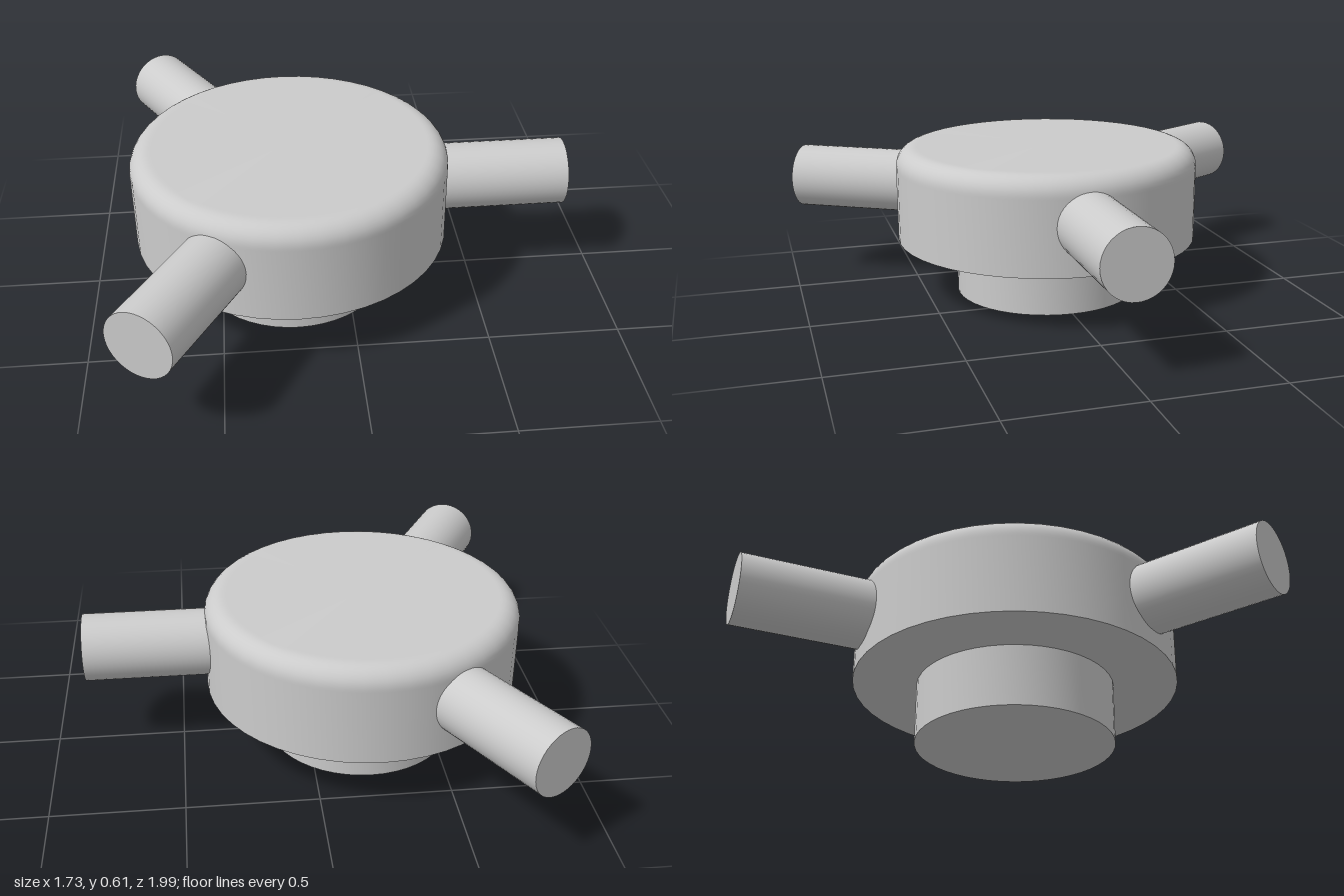
import * as THREE from 'three';
import { toCreasedNormals } from 'three/addons/utils/BufferGeometryUtils.js';

const material = new THREE.MeshStandardMaterial({ color: 0xcccccc });
const HUB_X = -0.215, HUB_R = 0.61, HUB_BOTTOM = 0.23, HUB_TOP = 0.61, FILLET = 0.075;
const STEM_R = 0.372;
const ARM_R = 0.13, ARM_Y = 0.42, ARM_START = 0.57, ARM_END = 1.075;

function add(parent, name, geometry) {
  const mesh = new THREE.Mesh(geometry, material);
  mesh.name = name;
  parent.add(mesh);
  return mesh;
}

// Revolve a [radius, height] profile, keeping its corners sharp
function revolve(profile) {
  const points = profile.map(([r, y]) => new THREE.Vector2(r, y));
  return toCreasedNormals(new THREE.LatheGeometry(points, 48), 0.6);
}

export function createModel() {
  const model = new THREE.Group();
  model.name = 'threeArmKnob';

  // Everything radiates from the hub axis
  const knob = new THREE.Group();
  knob.name = 'knob';
  knob.position.x = HUB_X;
  model.add(knob);

  // Hub: flat underside, straight wall, rounded upper rim
  const profile = [[STEM_R, HUB_BOTTOM], [HUB_R, HUB_BOTTOM], [HUB_R, HUB_TOP - FILLET - 0.01]];
  for (let i = 0; i <= 8; i++) {
    const a = (i / 8) * Math.PI / 2;
    profile.push([HUB_R - FILLET + FILLET * Math.cos(a), HUB_TOP - FILLET + FILLET * Math.sin(a)]);
  }
  profile.push([HUB_R - FILLET - 0.01, HUB_TOP], [0, HUB_TOP]);
  add(knob, 'hub', revolve(profile));

  // Stem below the hub
  add(knob, 'stem', revolve([[0, 0], [STEM_R, 0], [STEM_R, HUB_BOTTOM]]));

  // Three round arms, evenly spaced
  const length = ARM_END - ARM_START;
  const armGeometry = new THREE.CylinderGeometry(ARM_R, ARM_R, length, 40)
    .rotateZ(-Math.PI / 2)
    .translate(ARM_START + length / 2, ARM_Y, 0);
  for (let i = 0; i < 3; i++) {
    add(knob, `arm${i + 1}`, armGeometry).rotation.y = (i * 2 * Math.PI) / 3;
  }

  return model;
}
